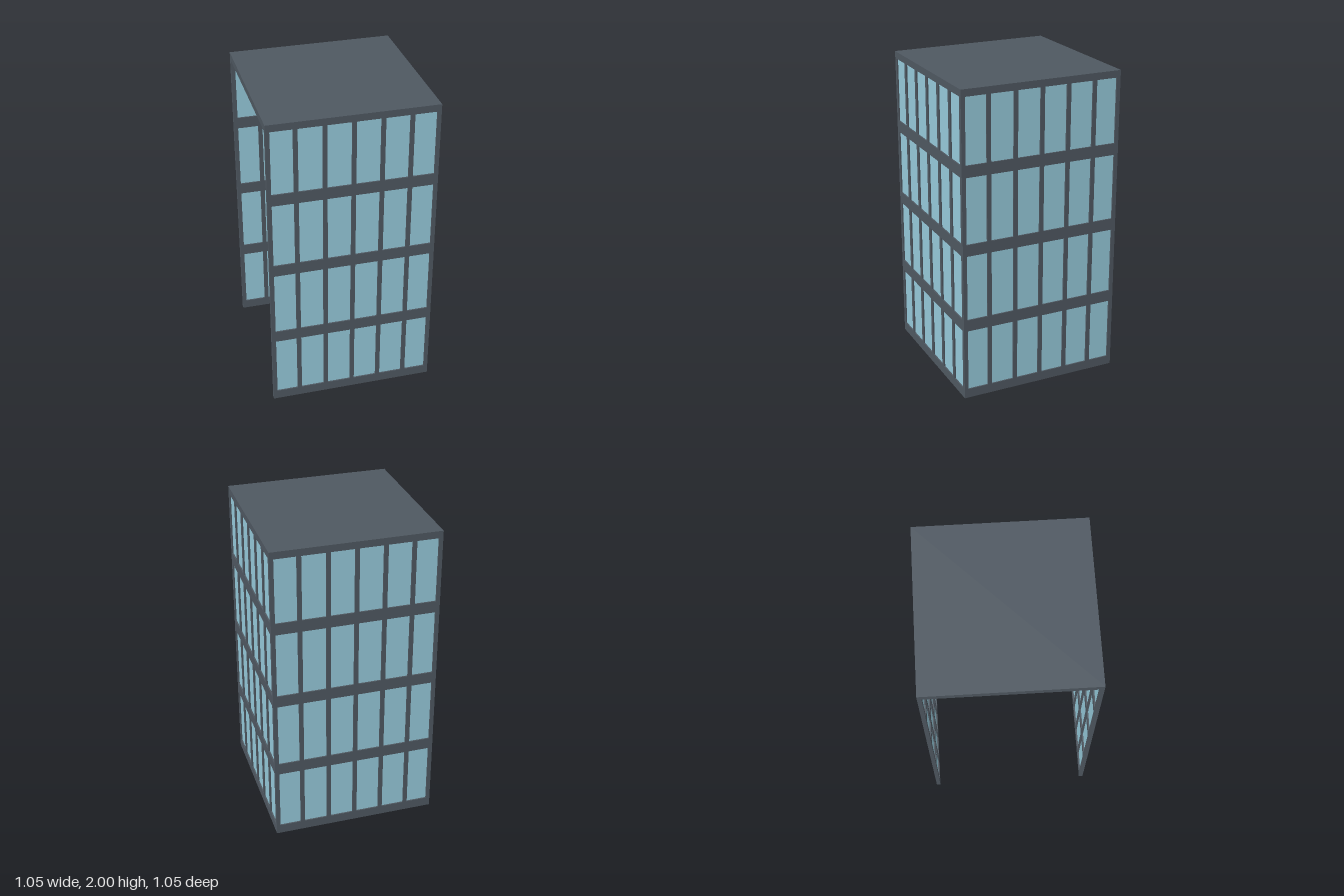
import * as THREE from 'three';

const HALF = 0.527;        // half the plan width
const T = 0.026;           // wall thickness
const ROOF_Y = 1.955;      // underside of the roof slab
const BAYS = 6;
const BEAMS = [[0, 0.06], [0.465, 0.54], [0.965, 1.04], [1.465, 1.54]];

const frameMat = new THREE.MeshStandardMaterial({ color: 0x4f5861 });
const glassMat = new THREE.MeshStandardMaterial({ color: 0x96cadb });

function box(parent, name, mat, w, h, d, x, y, z) {
  const mesh = new THREE.Mesh(new THREE.BoxGeometry(w, h, d), mat);
  mesh.name = name;
  mesh.position.set(x, y, z);
  parent.add(mesh);
}

// A curtain wall facing +z, set flush with the plan edge, between the corner posts
function makeWall(name) {
  const wall = new THREE.Group();
  wall.name = name;
  const z = HALF - T / 2;
  const width = 2 * (HALF - T);
  const pitch = (2 * HALF) / BAYS;

  BEAMS.forEach(([bottom, top], i) => {
    box(wall, 'floorBeam', frameMat, width, top - bottom, T, 0, (bottom + top) / 2, z);

    // Storey above this beam: glazing and mullions
    const head = i < BEAMS.length - 1 ? BEAMS[i + 1][0] : ROOF_Y;
    const h = head - top;
    const y = (head + top) / 2;
    box(wall, 'glass', glassMat, width, h, 0.008, 0, y, z);
    for (let k = 1; k < BAYS; k++) {
      box(wall, 'mullion', frameMat, 0.028, h, T, -HALF + k * pitch, y, z);
    }
  });
  return wall;
}

export function createModel() {
  const model = new THREE.Group();
  model.name = 'officeBlock';

  // Glazed walls on three sides; the -x side is open
  [['frontWall', 0], ['leftWall', Math.PI / 2], ['backWall', Math.PI]].forEach(([name, angle]) => {
    const wall = makeWall(name);
    wall.rotation.y = angle;
    model.add(wall);
  });

  // Corner posts
  const c = HALF - T / 2;
  for (const sx of [-1, 1]) {
    for (const sz of [-1, 1]) {
      box(model, 'cornerPost', frameMat, T, ROOF_Y, T, sx * c, ROOF_Y / 2, sz * c);
    }
  }

  // Roof slab
  box(model, 'roof', frameMat, 2 * HALF, 2 - ROOF_Y, 2 * HALF, 0, (2 + ROOF_Y) / 2, 0);
  return model;
}
